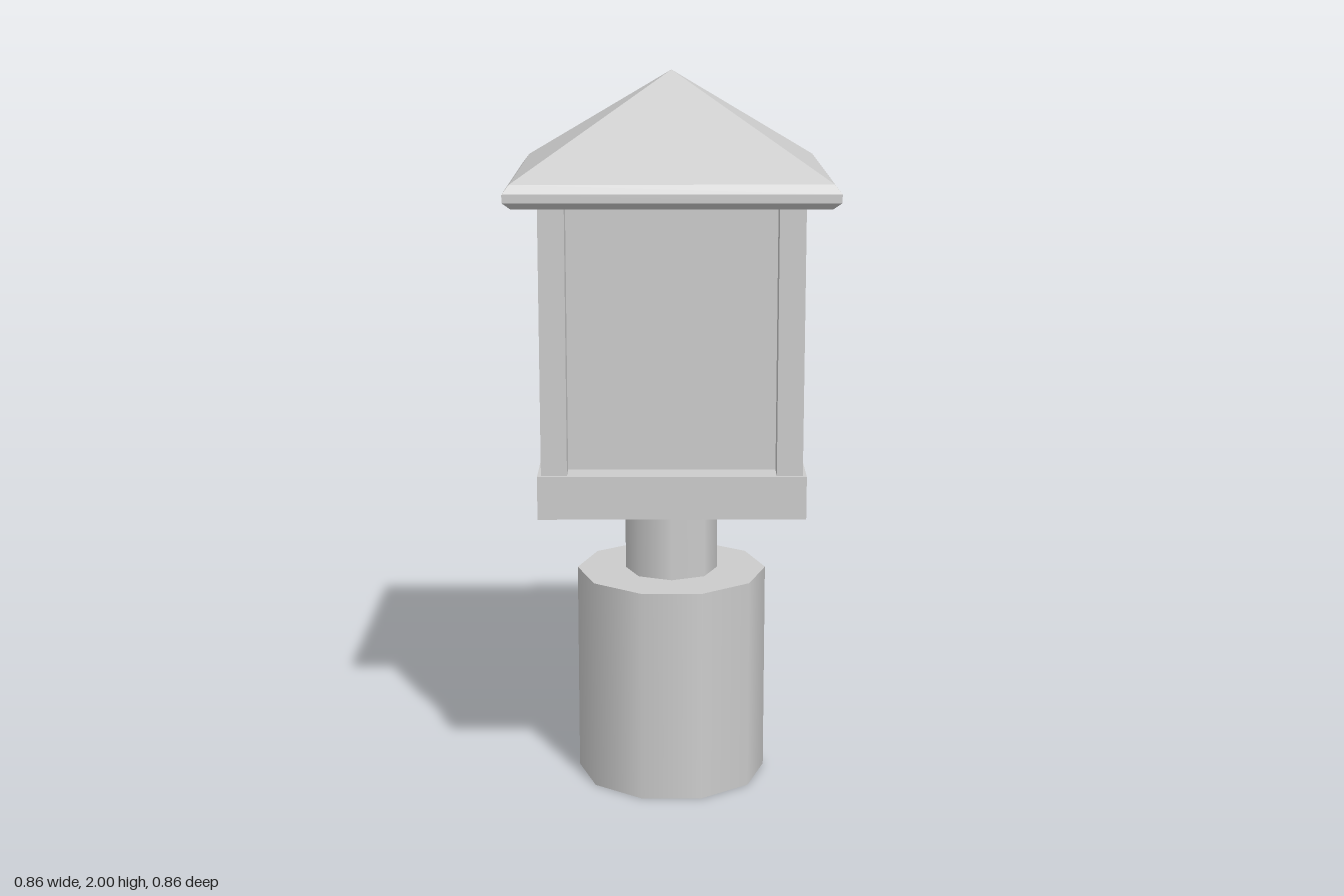
import * as THREE from 'three';

export function createModel() {
  const model = new THREE.Group();
  model.name = 'postLantern';
  const grey = new THREE.MeshStandardMaterial({ color: 0xcccccc, side: THREE.DoubleSide });
  grey.name = 'light grey';

  const add = (name, geometry, x = 0, y = 0, z = 0) => {
    const mesh = new THREE.Mesh(geometry, grey);
    mesh.name = name;
    mesh.position.set(x, y, z);
    model.add(mesh);
    return mesh;
  };
  const box = (name, w, y0, y1, x = 0, z = 0) =>
    add(name, new THREE.BoxGeometry(w, y1 - y0, w), x, (y0 + y1) / 2, z);

  // Ten-sided base sleeve, open underneath, with a flat lid
  const R = 0.267;
  const sleeve = new THREE.CylinderGeometry(R, R, 0.6, 10, 1, true).rotateY(Math.PI / 2);
  add('baseSleeve', sleeve, 0, 0.3, 0);
  add('baseLid', new THREE.CircleGeometry(R, 10).rotateX(-Math.PI / 2), 0, 0.6, 0);

  // Eight-sided neck
  add('neck', new THREE.CylinderGeometry(0.13, 0.13, 0.24, 8, 1, true), 0, 0.72, 0);

  // Square lantern: floor plate, recessed panes and corner posts
  box('floorPlate', 0.714, 0.84, 0.957);
  box('panes', 0.556, 0.957, 1.672);
  for (const x of [-1, 1]) {
    for (const z of [-1, 1]) {
      box('cornerPost', 0.069, 0.957, 1.672, x * 0.3125, z * 0.3125);
    }
  }

  // Pyramid roof with a bevelled rim: a four-sided lathe, flat shaded
  const profile = [[0, 1.672], [0.41, 1.672], [0.431, 1.69], [0.431, 1.712], [0.413, 1.735], [0, 2]]
    .map(([half, y]) => new THREE.Vector2(half * Math.SQRT2, y));
  const roof = new THREE.LatheGeometry(profile, 4, Math.PI / 4).toNonIndexed();
  roof.computeVertexNormals();
  add('roof', roof);

  return model;
}
